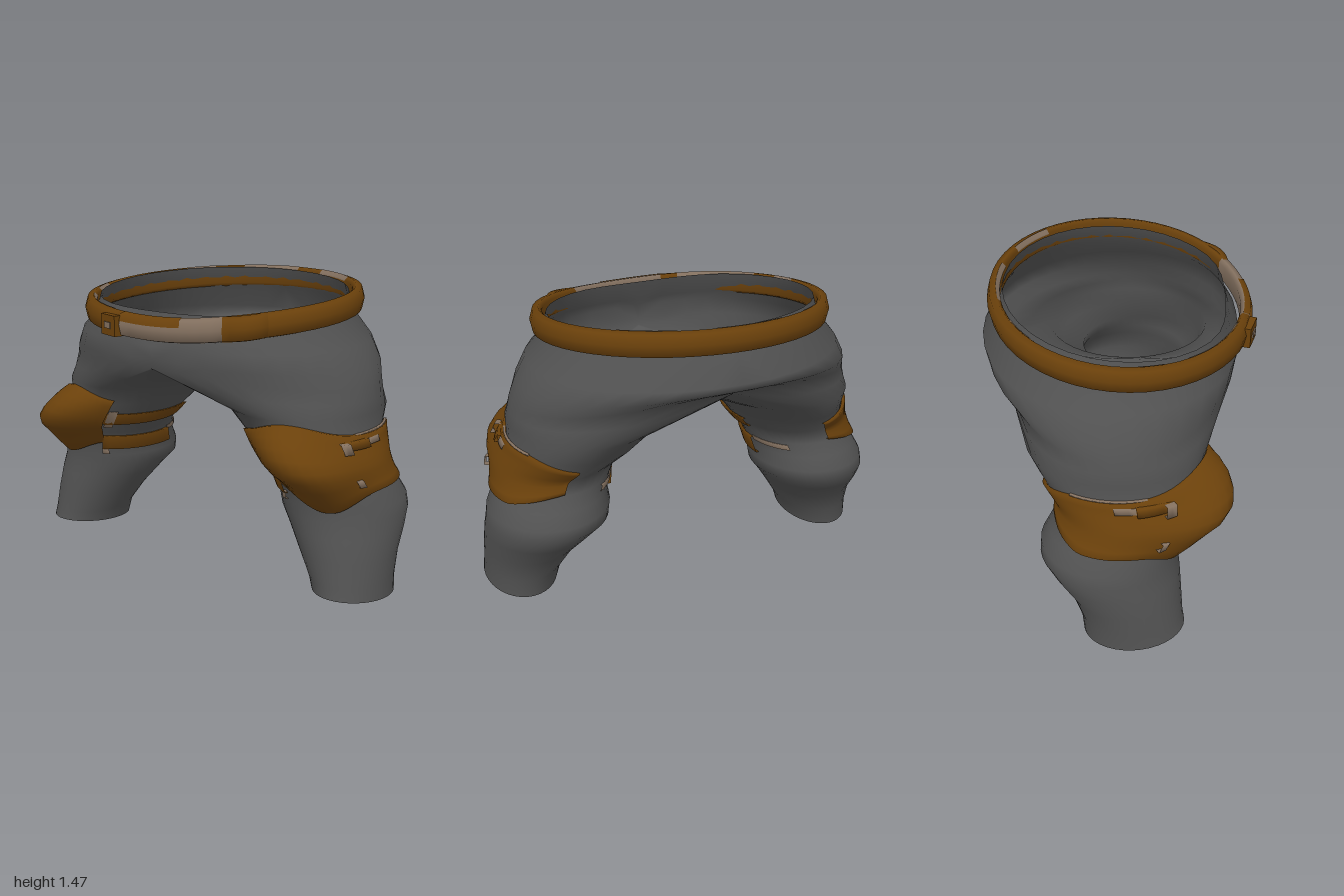
import * as THREE from 'three';
import { mergeVertices, mergeGeometries } from 'three/addons/utils/BufferGeometryUtils.js';

const mat = (name, color) => new THREE.MeshStandardMaterial({ name, color, side: THREE.DoubleSide });
const { sin, cos, PI, abs, max, exp } = Math;

// Leg cross-sections: y, centre x, centre z, half width, half depth
const LEG = [
  [0.90, 0.53, -0.075, 0.375, 0.43],
  [0.80, 0.58, -0.06, 0.32, 0.385],
  [0.68, 0.66, -0.02, 0.30, 0.32],
  [0.61, 0.69, -0.05, 0.285, 0.30],
  [0.54, 0.72, -0.08, 0.285, 0.31],
  [0.47, 0.735, -0.10, 0.305, 0.328],
  [0.41, 0.745, -0.105, 0.305, 0.328],
  [0.33, 0.78, -0.07, 0.275, 0.305],
  [0.22, 0.82, -0.02, 0.235, 0.265],
  [0.10, 0.86, 0.01, 0.195, 0.245],
  [0.025, 0.875, 0.02, 0.185, 0.245],
];
// Waist-to-hip cross-sections: y, centre z, half width, half depth, rise at front, rise at back
const HIPS = [
  [1.405, -0.08, 0.668, 0.565, -0.05, 0.05],
  [1.30, -0.08, 0.70, 0.595, -0.05, 0.05],
  [1.20, -0.10, 0.79, 0.655, 0, 0.02],
  [1.10, -0.10, 0.85, 0.635, 0.03, 0.08],
];

// Surface between rows of points; rows run downwards, points run front to left
function loft(rows) {
  const n = rows[0].length, index = [];
  for (let i = 0; i < rows.length - 1; i++)
    for (let j = 0; j < n - 1; j++) {
      const a = i * n + j, b = a + n;
      index.push(b, b + 1, a + 1, b, a + 1, a);
    }
  const g = new THREE.BufferGeometry();
  g.setAttribute('position', new THREE.Float32BufferAttribute(rows.flat(2), 3));
  g.setIndex(index);
  return g;
}

function mirrored(g) {
  const m = g.clone();
  const p = m.attributes.position, ix = m.index.array;
  for (let i = 0; i < p.count; i++) p.setX(i, -p.getX(i));
  for (let i = 0; i < ix.length; i += 3) [ix[i], ix[i + 1]] = [ix[i + 1], ix[i]];
  return m;
}

function smooth(...parts) {
  const g = mergeVertices(mergeGeometries(parts), 1e-4);
  g.computeVertexNormals();
  return g;
}

const span = (a, b, n, f) => Array.from({ length: n + 1 }, (_, i) => f(a + (b - a) * i / n));

const ring = ([y, cx, cz, a, b], t, off = 0) =>
  [cx + (a + off) * sin(t), y, cz + (b + off) * cos(t)];

// Point on the leg surface at any height, pushed outwards by off
function legPoint(t, y, off) {
  let i = 0;
  while (i < LEG.length - 2 && LEG[i + 1][0] > y) i++;
  const k = (LEG[i][0] - y) / (LEG[i][0] - LEG[i + 1][0]);
  return ring(LEG[i].map((v, j) => v + (LEG[i + 1][j] - v) * k), t, off);
}

// Thin strip wrapped around a leg
const strip = (t0, t1, y0, y1, off, n = 10) =>
  loft([[y1, 0.002], [y1, off], [y0, off], [y0, 0.002]].map(([y, o]) =>
    span(t0, t1, n, t => legPoint(t, y, o))));

export function createModel() {
  const grey = mat('grey cloth', 0x525252);
  const brown = mat('brown leather', 0x6b410b);
  const tan = mat('worn tan', 0x83705f);

  const model = new THREE.Group();
  model.name = 'trousers';
  const body = new THREE.Group();
  body.name = 'turnedBody';
  body.rotation.y = -PI / 6;
  body.position.set(-0.026, 0, -0.015);
  model.add(body);
  const add = (name, geometry, material) => {
    const m = new THREE.Mesh(geometry, material);
    m.name = name;
    body.add(m);
    return m;
  };

  // Hips: half shell from the waist to the crotch line, hollowed at the front
  const rise = (t, front, back) => (cos(t) > 0 ? front : back) * abs(cos(t)) ** 3;
  const crotch = t => {
    const z = -0.085 + 0.575 * cos(t);
    return t <= PI + 1e-6
      ? [0.88 * sin(t), 1.02 + rise(t, 0.07, 0.12), z]
      : [0, 0.99 + 0.03 * cos(t) ** 2 + rise(t, 0.07, 0.12), z];
  };
  const hipRows = HIPS.map(([y, cz, a, b, front, back], i) => span(0, PI, 18, t => [
    a * sin(t),
    y + (i < 2 ? front * cos(t) : rise(t, front, back)),
    cz + b * cos(t) - 0.06 * exp(-((t / 0.5) ** 2)),
  ]));
  hipRows.push(span(0, PI, 18, crotch));
  const hips = loft(hipRows);

  // Legs: closed rings from the crotch line to the hem
  const blend = t => {
    const a = crotch(t), b = ring(LEG[0], t);
    return a.map((v, i) => (v + b[i]) / 2);
  };
  const legRows = [span(0, 2 * PI, 36, crotch), span(0, 2 * PI, 36, blend)];
  for (const r of LEG) legRows.push(span(0, 2 * PI, 36, t => ring(r, t)));
  const hem = legRows[legRows.length - 1];
  hem.forEach((p, j) => { p[1] += 0.025 * cos(j * PI / 18); });
  const leg = loft(legRows);
  add('hipsAndLegs', smooth(hips, mirrored(hips), leg, mirrored(leg)), grey);

  // Closed soles set just inside the hems
  const [, soleX, soleZ] = LEG[LEG.length - 1];
  const sole = loft([hem,
    hem.map(([x, y, z]) => [soleX + (x - soleX) * 0.8, y + 0.02, soleZ + (z - soleZ) * 0.8]),
    hem.map(() => [soleX, 0.04, soleZ])]);

  // Knee pad: wrap-around band swelling to a ridge over the knee, narrowing behind
  const padRows = [1, 1, 0.75, 0.5, 0.25, 0, -0.25, -0.5, -0.75, -1, -1].map((v, row) =>
    span(-0.45, 3.0, 36, t => {
      const g = exp(-(((t - 0.32) / 0.55) ** 2));
      const taper = max(0, t - 2.1) / 0.9;
      const top = 0.815 + 0.07 * g - 0.07 * taper, bottom = 0.565 - 0.10 * g + 0.06 * taper;
      const y = (top + bottom) / 2 + v * (top - bottom) / 2 + 0.035 * g * (1 - v * v);
      return legPoint(t, y, row % 10 === 0 ? 0.002 : 0.02 + 0.165 * g * (1 - abs(v) ** 1.9));
    }));

  const pieces = [
    ['sole', sole, grey],
    ['kneePad', loft(padRows), brown],
    ['upperKneeStrap', strip(-1.95, -0.43, 0.675, 0.74, 0.02), brown],
    ['lowerKneeStrap', strip(-1.75, -0.43, 0.51, 0.59, 0.02), brown],
    ['strapTail', strip(-2.5, -1.75, 0.575, 0.60, 0.008, 6), tan],
    ['padEdgeWear', strip(-0.6, -0.45, 0.655, 0.755, 0.024, 2), tan],
    ['padLowerEdgeWear', strip(-0.55, -0.43, 0.48, 0.515, 0.016, 2), tan],
    ['padTopTrim', strip(1.2, 2.1, 0.814, 0.823, 0.014), tan],
    ['sideClip', strip(0.95, 1.35, 0.765, 0.80, 0.045, 4), brown],
    ['sideClipWear', strip(1.35, 1.6, 0.77, 0.795, 0.028, 3), tan],
    ['upperStud', strip(0.92, 1.04, 0.755, 0.80, 0.07, 2), tan],
    ['lowerStud', strip(0.92, 1.02, 0.60, 0.635, 0.066, 2), tan],
  ];
  for (const [name, g, m] of pieces) {
    add(name + 'Left', smooth(g), m);
    add(name + 'Right', smooth(mirrored(g)), m);
  }

  // Belt: rounded profile swept round the waist, higher at the back, sagging in front
  const PROFILE = [[-0.025, 0.04], [-0.008, 0.058], [0.022, 0.05], [0.036, 0], [0.025, -0.052],
    [-0.005, -0.06], [-0.025, -0.04], [-0.025, 0.04]];
  const beltPoint = (t, o, dy) => {
    const sag = 0.02 * exp(-6 * (1 - cos(t - 0.2)));
    return [(0.712 + o) * sin(t), 1.36 - 0.05 * cos(t) + 0.015 * sin(t) - sag + dy,
      HIPS[0][1] + (0.605 + o) * cos(t)];
  };
  const sweep = (profile, t0, t1, n) =>
    smooth(loft(profile.map(([o, dy]) => span(t0, t1, n, t => beltPoint(t, o, dy)))));
  add('belt', sweep(PROFILE, 0.58, 2 * PI - 0.2, 44), brown);
  add('beltWornFront', sweep(PROFILE, -0.2, 0.58, 8), tan);
  add('beltTopStripe', sweep([[-0.006, 0.06], [0.024, 0.053], [0.035, 0.018]], -0.2, 0.28, 6), brown);

  // Belt overlap: a slightly thicker length beside the worn front
  add('beltOverlap', smooth(loft(PROFILE.map(([o, dy]) => span(0.56, 0.86, 6, t =>
    beltPoint(t, o + 0.025 * sin((t - 0.56) / 0.3 * PI), dy))))), brown);

  // Worn patches along the inner rim of the belt
  for (const [t0, t1] of [[2.35, 2.75], [3.0, 3.5], [3.75, 4.0], [4.9, 5.1], [5.3, 5.95]])
    add('rimWear', sweep([[-0.028, 0.035], [-0.027, 0.042], [-0.010, 0.060]], t0, t1, 6), tan);

  // Buckle on the belt front
  const buckle = add('buckle', new THREE.BoxGeometry(0.12, 0.10, 0.05), brown);
  buckle.position.set(...beltPoint(-0.28, 0.03, -0.01));
  buckle.rotation.y = -0.28;
  const plate = add('bucklePlate', new THREE.BoxGeometry(0.05, 0.03, 0.008), tan);
  plate.position.set(...beltPoint(-0.28, 0.057, -0.01));
  plate.rotation.y = -0.28;

  return model;
}
